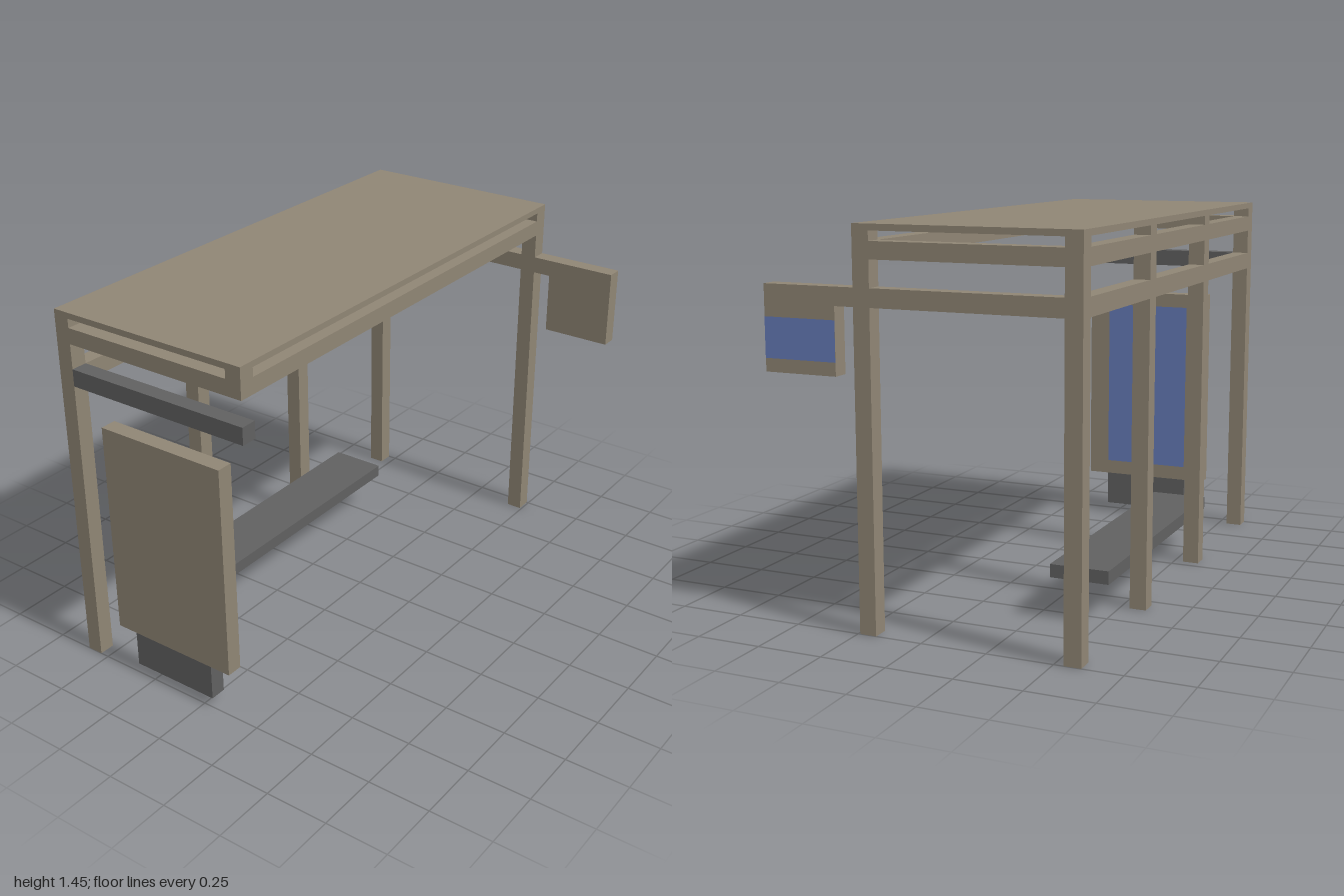
import * as THREE from 'three';

const frameMat = new THREE.MeshStandardMaterial({ color: 0x8f8574 });
const darkMat = new THREE.MeshStandardMaterial({ color: 0x606060 });
const blueMat = new THREE.MeshStandardMaterial({ color: 0x657bb8 });

export function createModel() {
  const shelter = new THREE.Group();
  shelter.name = 'busShelter';

  // Box given by its [min, max] extent on each axis
  function box(name, mat, [x0, x1], [y0, y1], [z0, z1]) {
    const mesh = new THREE.Mesh(new THREE.BoxGeometry(x1 - x0, y1 - y0, z1 - z0), mat);
    mesh.name = name;
    mesh.position.set((x0 + x1) / 2, (y0 + y1) / 2, (z0 + z1) / 2);
    shelter.add(mesh);
  }

  // Thin picture surface facing +x
  function picture(name, x, [y0, y1], [z0, z1]) {
    const mesh = new THREE.Mesh(new THREE.PlaneGeometry(z1 - z0, y1 - y0), blueMat);
    mesh.name = name;
    mesh.rotation.y = Math.PI / 2;
    mesh.position.set(x + 0.001, (y0 + y1) / 2, (z0 + z1) / 2);
    shelter.add(mesh);
  }

  const T = 0.064; // beam thickness
  const roofY = 1.424;
  const left = [1 - T, 1], right = [-1, -1 + T];
  const back = [-0.6, -0.6 + T], front = [0.242 - T, 0.242];
  const depth = [back[1], front[0]];
  const upper = [1.327, 1.389], lower = [1.163, 1.23];

  // Roof slab
  box('roof', frameMat, [-1, 1], [roofY, 1.447], [-0.6, 0.242]);

  // Posts: four along the back, one at the front left, a short stub at the front right
  const backPosts = [right, [-0.324 - T / 2, -0.324 + T / 2], [0.324 - T / 2, 0.324 + T / 2], left];
  backPosts.forEach((x) => box('backPost', frameMat, x, [0, roofY], back));
  box('frontPost', frameMat, left, [0, roofY], front);
  box('cornerStub', frameMat, right, [upper[0], roofY], front);

  // Back rails, fitted between the posts
  for (let i = 0; i < 3; i++) {
    const span = [backPosts[i][1], backPosts[i + 1][0]];
    box('upperBackRail', frameMat, span, upper, back);
    box('lowerBackRail', frameMat, span, lower, back);
  }

  // Front and side rails
  box('upperFrontRail', frameMat, [right[1], left[0]], upper, front);
  for (const side of [left, right]) box('upperSideRail', frameMat, side, upper, depth);
  box('lowerSideRail', frameMat, left, lower, depth);
  box('panelHangerRail', darkMat, right, lower, [back[1], front[1]]);

  // Sign on an arm projecting forward of the front post
  box('signArm', frameMat, left, lower, [front[1], 0.316]);
  box('signBoard', frameMat, left, [0.918, 1.23], [0.316, 0.6]);
  picture('signFace', 1, [0.967, 1.114], [0.316, 0.6]);

  // Poster panel with its base
  box('posterPanel', frameMat, right, [0.183, 1.034], [-0.416, 0.128]);
  picture('posterFace', right[1], [0.243, 0.975], [-0.328, 0.04]);
  box('posterBase', darkMat, right, [0.04, 0.183], [-0.33, 0.041]);

  // Bench against the back posts
  box('bench', darkMat, [-0.58, 0.58], [0.157, 0.207], [-0.308 - 0.228, -0.308]);

  return shelter;
}
